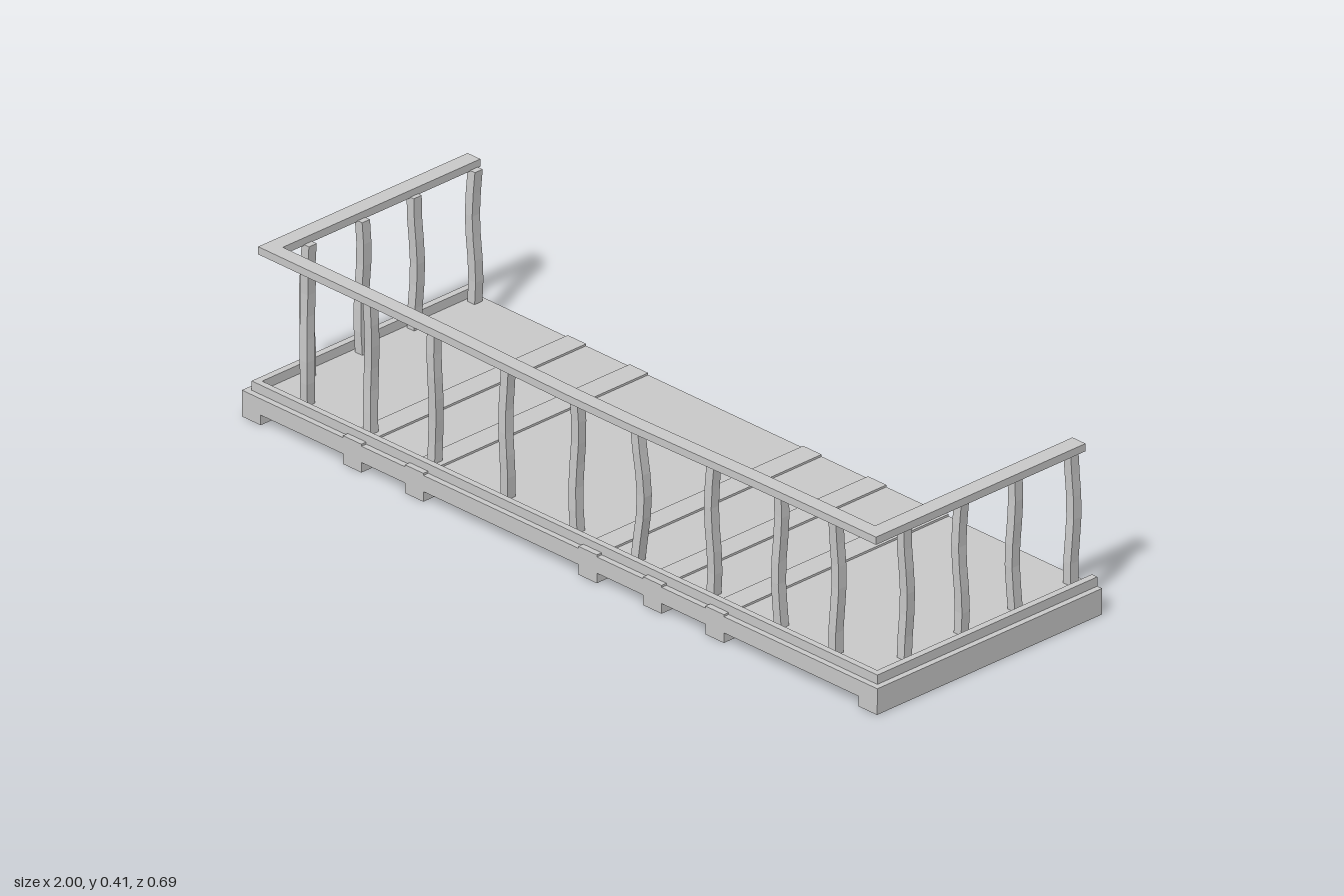
import * as THREE from 'three';

export function createModel() {
  const model = new THREE.Group();
  const mat = new THREE.MeshStandardMaterial({ color: 0xcccccc, flatShading: true });

  // Box given by its minimum and maximum corners
  function box(name, [x0, y0, z0], [x1, y1, z1], parent = model, segX = 1) {
    const geo = new THREE.BoxGeometry(x1 - x0, y1 - y0, z1 - z0, segX, 1, 1);
    geo.translate((x0 + x1) / 2, (y0 + y1) / 2, (z0 + z1) / 2);
    const mesh = new THREE.Mesh(geo, mat);
    mesh.name = name;
    parent.add(mesh);
    return mesh;
  }
  function group(name) {
    const g = new THREE.Group();
    g.name = name;
    model.add(g);
    return g;
  }

  // Floor slab, with joists below that stand slightly proud of its top
  box('floorSlab', [-1, 0.025, -0.345], [1, 0.065, 0.345]);
  const joists = group('joists');
  for (const x of [-0.97, -0.653, -0.458, 0.088, 0.292, 0.488, 0.97]) {
    const end = Math.abs(x) > 0.9;
    box('joist', [x - 0.029, 0, -0.345], [x + 0.029, end ? 0.06 : 0.07, 0.345], joists);
  }

  // Low kerb on three sides, open at the back
  const kerb = group('kerb');
  box('frontKerb', [-0.985, 0.065, 0.314], [0.985, 0.088, 0.33], kerb);
  for (const s of [-1, 1]) {
    const a = s * 0.985, b = s * 0.968;
    box('sideKerb', [Math.min(a, b), 0.065, -0.345], [Math.max(a, b), 0.088, 0.314], kerb);
  }

  // Handrail: the front run sags a little in the middle
  const rail = group('handrail');
  const front = box('frontRail', [-0.99, 0.39, 0.268], [0.955, 0.409, 0.305], rail, 10);
  const fp = front.geometry.attributes.position;
  for (let i = 0; i < fp.count; i++) {
    const t = Math.max(0, 1 - Math.abs(fp.getX(i) - 0.08) / 0.65);
    fp.setY(i, fp.getY(i) - 0.008 * t * t * (3 - 2 * t));
  }
  front.geometry.computeVertexNormals();
  box('rightRail', [-0.99, 0.39, -0.338], [-0.95, 0.409, 0.268], rail);
  box('leftRail', [0.914, 0.39, -0.338], [0.955, 0.409, 0.268], rail);

  // Crooked square posts: each ring of corners is shifted a little sideways
  const posts = group('posts');
  function post(name, x, z, bend, seed) {
    const geo = new THREE.BoxGeometry(0.023, 0.327, 0.024, 1, 6, 1);
    const p = geo.attributes.position;
    for (let i = 0; i < p.count; i++) {
      const t = p.getY(i) / 0.327 + 0.5;
      const bow = Math.sin(Math.PI * t);
      p.setX(i, p.getX(i) + bow * bend + 0.0025 * Math.sin(t * 7 + seed * 2.1));
      p.setZ(i, p.getZ(i) + 0.003 * Math.sin(t * 6 + seed * 1.7));
    }
    geo.computeVertexNormals();
    const mesh = new THREE.Mesh(geo, mat);
    mesh.name = name;
    mesh.position.set(x, 0.2285, z);
    posts.add(mesh);
  }
  [-0.855, -0.655, -0.453, -0.227, -0.006, 0.19, 0.422, 0.633, 0.813].forEach((x, i) =>
    post('frontPost', x, 0.285, x === 0.19 ? 0.01 : 0, i));
  [0.194, 0.026, -0.138, -0.317].forEach((z, i) => {
    post('rightPost', -0.948, z, 0, i + 3);
    post('leftPost', 0.935, z, 0, i + 5);
  });

  return model;
}
